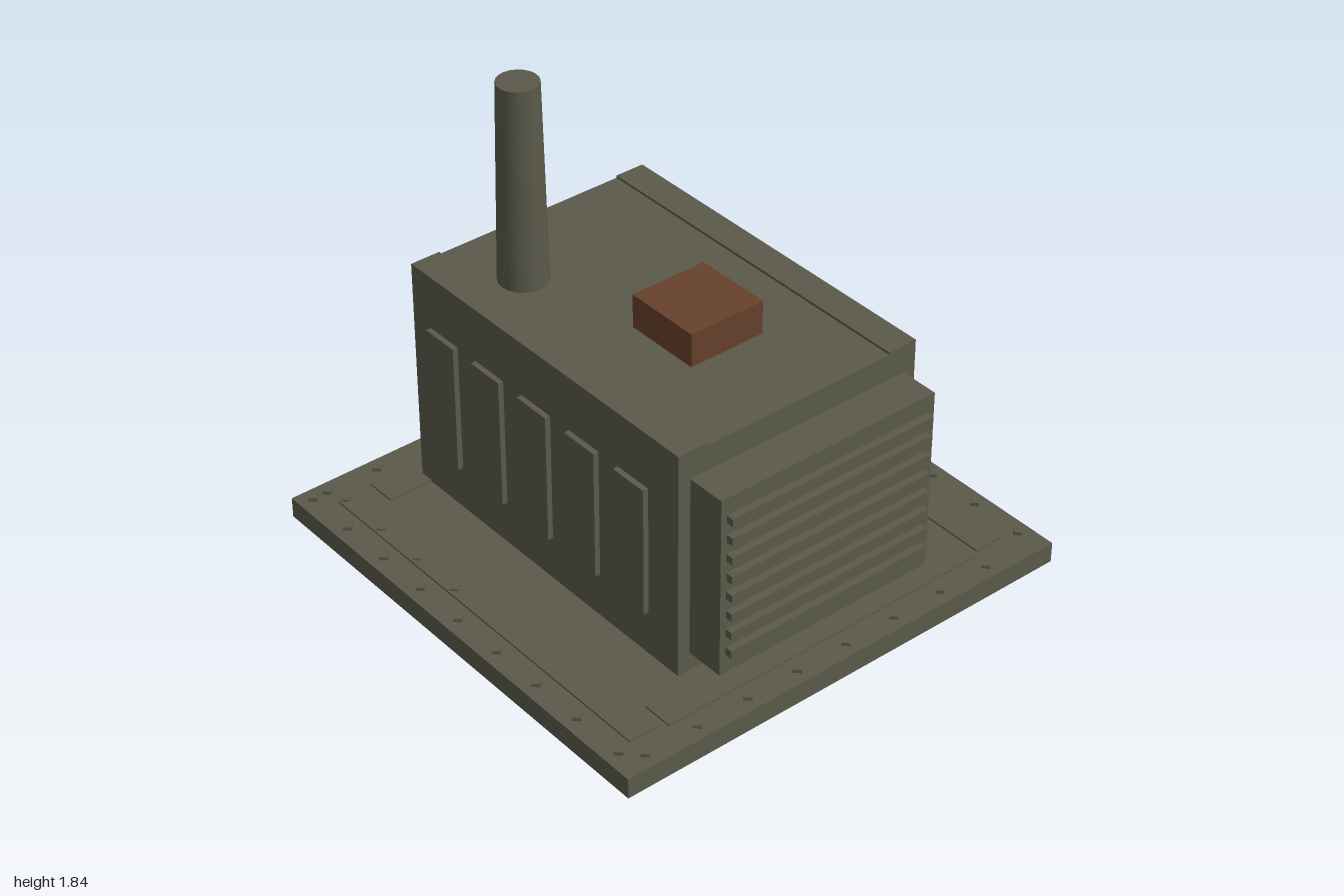
import * as THREE from 'three';

export function createModel() {
  const model = new THREE.Group();
  model.name = 'generator';

  const olive = new THREE.MeshStandardMaterial({ color: 0x5a594a, side: THREE.DoubleSide });
  olive.name = 'olive metal';
  const rust = new THREE.MeshStandardMaterial({ color: 0x66412c });
  rust.name = 'rust brown';

  const add = (name, geometry, material = olive) => {
    const mesh = new THREE.Mesh(geometry, material);
    mesh.name = name;
    model.add(mesh);
    return mesh;
  };
  // Box given by its limits on each axis
  const box = (name, x0, x1, y0, y1, z0, z1, material) => {
    const g = new THREE.BoxGeometry(x1 - x0, y1 - y0, z1 - z0);
    g.translate((x0 + x1) / 2, (y0 + y1) / 2, (z0 + z1) / 2);
    return add(name, g, material);
  };

  const deck = 0.085;
  const roof = 1.025;

  // Base: a tray open underneath (the box without its bottom face)
  const base = new THREE.BoxGeometry(2, deck, 2).translate(0, deck / 2, 0);
  const faces = Array.from(base.index.array);
  faces.splice(18, 6);
  base.setIndex(faces);
  base.clearGroups();
  add('base', base);

  // Raised strips on the base
  for (const s of [-1, 1]) {
    const z = s * 0.815;
    box('crossStrip', -0.865, 0.86, deck, 0.092, z - 0.065, z + 0.065);
    const x = s * 0.817;
    box('sideStrip', x - 0.065, x + 0.065, deck, 0.092, -0.73, 0.725);
  }

  // Four-sided bolts around the rim and along the strips
  const boltGeometry = new THREE.CylinderGeometry(0.023, 0.023, 0.015, 4).toNonIndexed();
  boltGeometry.computeVertexNormals();
  const bolt = (x, z) => add('bolt', boltGeometry).position.set(x, deck + 0.0075, z);
  const step = 0.2275;
  for (let i = 0; i < 9; i++) {
    const t = -0.945 + i * step;
    bolt(t, 0.94);
    bolt(t, -0.945);
    if (i > 0) {
      bolt(-0.945, t);
      bolt(0.94, t);
    }
  }
  for (let i = 0; i < 4; i++) {
    bolt(-0.86 + i * step, 0.85);
    bolt(-0.63 + i * step, -0.86);
  }

  // Housing with a raised rail along each roof edge
  box('housing', -0.81, 0.7, deck, roof, -0.54, 0.535);
  box('roofRail', -0.81, 0.7, roof, 1.035, 0.41, 0.535);
  box('roofRail', -0.81, 0.7, roof, 1.035, -0.54, -0.415);

  // Side panels
  for (let i = 0; i < 5; i++) {
    const x = -0.705 + i * 0.2705;
    box('sidePanel', x, x + 0.163, 0.27, 0.81, 0.53, 0.557);
    box('sidePanel', x, x + 0.163, 0.27, 0.81, -0.562, -0.535);
  }

  // Radiator and its slats
  box('radiator', 0.7, 0.86, 0.165, 0.92, -0.487, 0.483);
  for (let i = 0; i < 8; i++) {
    const y = 0.262 + i * 0.0815;
    box('radiatorSlat', 0.86, 0.89, y - 0.016, y + 0.016, -0.457, 0.457);
  }

  // Tapered exhaust stack
  add('exhaustStack', new THREE.CylinderGeometry(0.08, 0.096, 0.815, 20))
    .position.set(-0.49, roof + 0.4075, 0.27);

  // Control box on the roof
  box('controlBox', 0, 0.32, roof, 1.162, -0.162, 0.162, rust);

  // Drum at the rear corner, lying along x
  const drum = add('drum', new THREE.CylinderGeometry(0.24, 0.24, 0.27, 16));
  drum.rotation.z = Math.PI / 2;
  drum.position.set(-0.785, 0.33, -0.76);

  return model;
}
